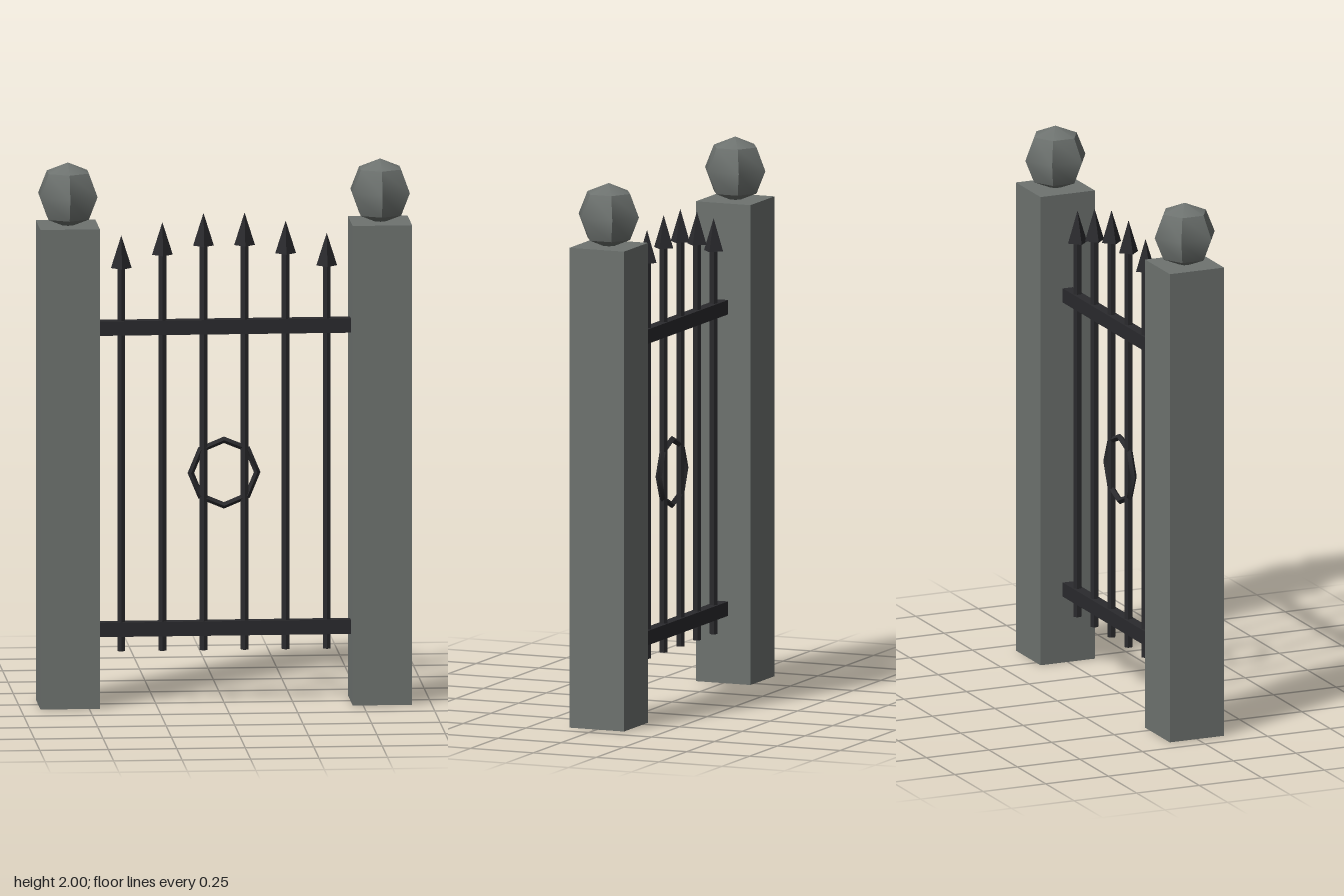
import * as THREE from 'three';
import { toCreasedNormals } from 'three/addons/utils/BufferGeometryUtils.js';

export function createModel() {
  const stone = new THREE.MeshStandardMaterial({ name: 'stone', color: 0x6e7370 });
  const iron = new THREE.MeshStandardMaterial({ name: 'iron', color: 0x2a2a2d });
  const gate = new THREE.Group();
  gate.name = 'gate';

  const add = (name, geometry, material, x, y) => {
    const mesh = new THREE.Mesh(toCreasedNormals(geometry, 0.73), material);
    mesh.name = name;
    mesh.position.set(x, y, 0);
    gate.add(mesh);
  };

  // Stone pillars with faceted ball finials, a corner of each ball facing front
  for (const [side, x] of [['left', 0.57], ['right', -0.57]]) {
    add(side + 'Pillar', new THREE.BoxGeometry(0.217, 1.77, 0.217), stone, x, 0.885);
    const ball = new THREE.SphereGeometry(0.12, 6, 4).rotateY(Math.PI / 2);
    add(side + 'PillarBall', ball, stone, x, 1.88);
  }

  // Horizontal rails
  add('topRail', new THREE.BoxGeometry(0.93, 0.053, 0.04), iron, 0, 1.388);
  add('bottomRail', new THREE.BoxGeometry(0.93, 0.053, 0.04), iron, 0, 0.276);

  // Upright bars with spear points, rising toward the middle
  const bottom = 0.195;
  const spearHeight = 0.12;
  [[0.075, 1.687], [0.225, 1.655], [0.375, 1.608]].forEach(([x, top], i) => {
    for (const s of [1, -1]) {
      const label = (s > 0 ? 'left' : 'right') + (i + 1);
      const height = top - bottom;
      add('bar_' + label, new THREE.CylinderGeometry(0.016, 0.016, height, 6), iron, s * x, bottom + height / 2);
      add('spear_' + label, new THREE.ConeGeometry(0.038, spearHeight, 4), iron, s * x, top + spearHeight / 2);
    }
  });

  // Octagonal ring in the middle
  add('ring', new THREE.TorusGeometry(0.121, 0.012, 4, 8), iron, 0, 0.848);

  return gate;
}
